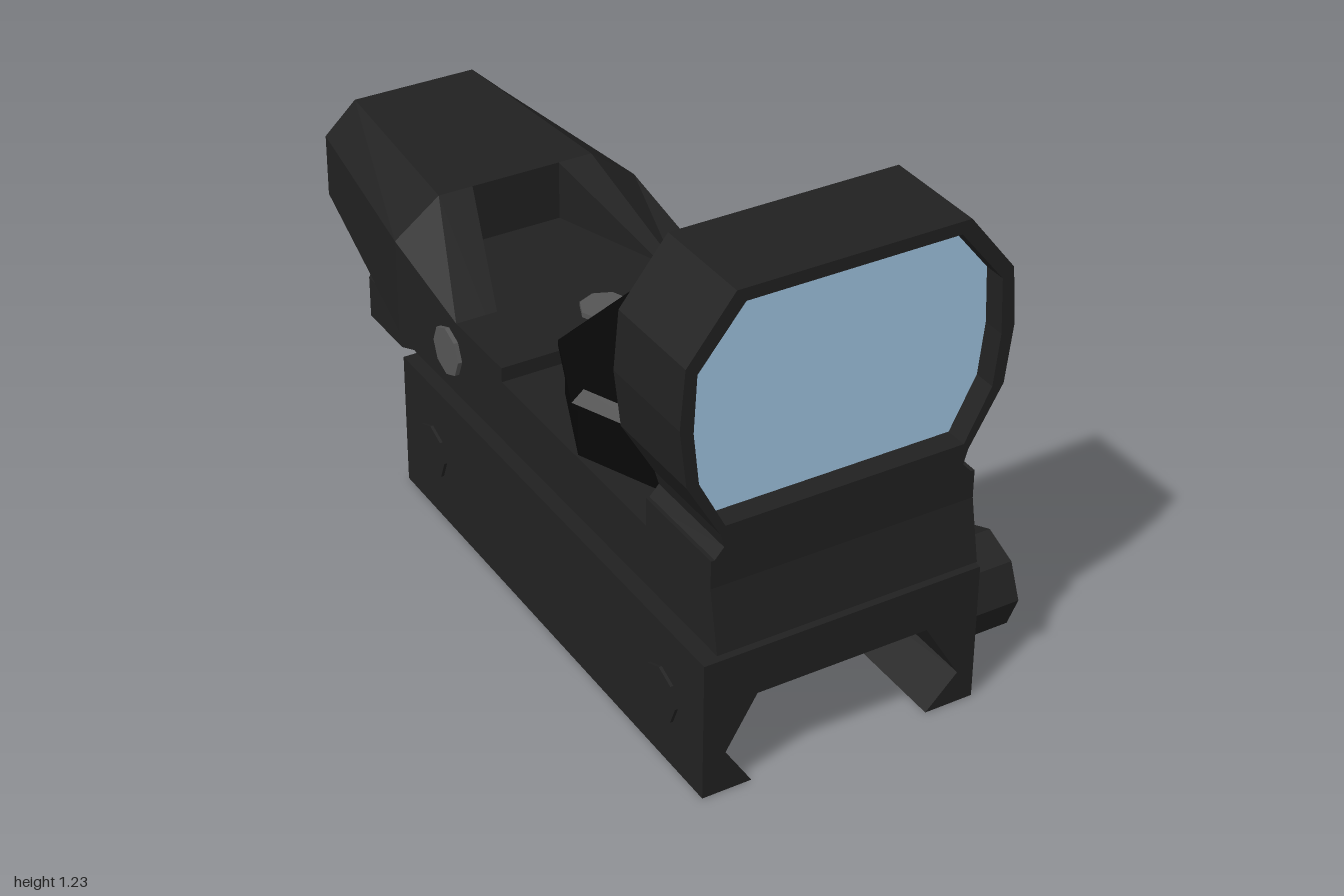
import * as THREE from 'three';

const CX = -0.05; // the sight's own centre line
const mat = (color) => new THREE.MeshStandardMaterial({ color, flatShading: true });
const DARK = mat(0x212121), BLACK = mat(0x070707), GREY = mat(0x555555), GLASS = mat(0xa0c6e2);

const shapeOf = (pts) => new THREE.Shape(pts.map(([x, y]) => new THREE.Vector2(x, y)));
const extrude = (shape, depth) => new THREE.ExtrudeGeometry(shape, { depth, bevelEnabled: false });
// right half outline (top to bottom) completed by its mirror image, counter-clockwise
const mirrored = (half) => [...half.map(([x, y]) => [-x, y]), ...[...half].reverse()];

// closed solid through matching rings, listed from front to back, counter-clockwise seen from +z
function loft(rings) {
  const pos = [];
  const n = rings[0].length;
  const tri = (...p) => p.forEach((v) => pos.push(...v));
  const mid = (r) => [0, 1, 2].map((k) => r.reduce((s, p) => s + p[k], 0) / n);
  for (let i = 0; i < n; i++) {
    const j = (i + 1) % n;
    for (let s = 0; s + 1 < rings.length; s++) {
      const a = rings[s], b = rings[s + 1];
      tri(a[i], b[i], a[j]);
      tri(a[j], b[i], b[j]);
    }
    const first = rings[0], last = rings[rings.length - 1];
    tri(mid(first), first[i], first[j]);
    tri(mid(last), last[j], last[i]);
  }
  const g = new THREE.BufferGeometry();
  g.setAttribute('position', new THREE.Float32BufferAttribute(pos, 3));
  g.computeVertexNormals();
  return g;
}

export function createModel() {
  const root = new THREE.Group();
  const add = (name, geo, material, x = 0, y = 0, z = 0) => {
    const m = new THREE.Mesh(geo, material);
    m.name = name;
    m.position.set(x, y, z);
    root.add(m);
  };
  const box = (name, w, h, d, x, y, z) => add(name, new THREE.BoxGeometry(w, h, d), DARK, x, y, z);
  // octagonal disc with its axis along x
  const sideDisc = (name, r, x0, x1, y, z, material) =>
    add(name, new THREE.CylinderGeometry(r, r, x1 - x0, 8).rotateZ(Math.PI / 2), material, (x0 + x1) / 2, y, z);

  // rail clamp with its dovetail channel
  const clamp = mirrored([[0.3475, 0.35], [0.3475, 0], [0.225, 0], [0.305, 0.08], [0.215, 0.23]]);
  add('railClamp', extrude(shapeOf(clamp), 1.38), DARK, CX, 0, -0.395);
  box('spacerPlate', 0.45, 0.05, 1.24, CX, 0.365, 0.27);
  for (const s of [-1, 1]) box('spacerStrip', 0.06, 0.02, 1.24, CX + s * 0.26, 0.355, 0.27);

  // clamp knobs on one side, flush bolt ends on the other
  for (const z of [0.815, -0.248]) {
    sideDisc('clampKnob', 0.12, 0.28, 0.45, 0.17, z, DARK);
    sideDisc('boltEnd', 0.068, -0.405, -0.38, 0.17, z, DARK);
  }

  // main body from its side outline, as [z, y]
  const side = [[1, 0.38], [0.97, 0.53], [0.97, 0.6], [0.71, 0.6], [0.71, 0.53], [0.07, 0.53],
    [0.07, 0.567], [-0.46, 0.567], [-0.46, 0.385], [-0.37, 0.37]];
  add('body', extrude(shapeOf(side), 0.652).translate(0, 0, -0.326).rotateY(-Math.PI / 2), DARK, CX);

  // tapering rear hood
  const hoodRing = (z, w, bottom, shoulder, top, topW) =>
    [[-w, bottom], [w, bottom], [w, shoulder], [topW, top], [-topW, top], [-w, shoulder]].map(([x, y]) => [x, y, z]);
  add('rearHood', loft([
    hoodRing(-0.46, 0.326, 0.385, 0.63, 0.72, 0.207),
    hoodRing(-1, 0.25, 0.475, 0.64, 0.72, 0.165),
  ]), DARK, CX);

  // sloping cheeks on both sides of the hood's front recess
  for (const s of [-1, 1]) {
    const ring = (z, inner, topW, shoulder, top) => {
      const r = [[inner, 0.56], [0.326, 0.56], [0.326, shoulder], [topW, top], [inner, top]]
        .map(([x, y]) => [s * x, y, z]);
      return s > 0 ? r : r.reverse();
    };
    add('hoodCheek', loft([
      ring(-0.15, 0.22, 0.25, 0.567, 0.567),
      ring(-0.46, 0.117, 0.207, 0.63, 0.72),
    ]), DARK, CX);
  }

  // window frame and a thick lens set back from both of its faces
  const outer = mirrored([[0.277, 1.225], [0.391, 1.08], [0.403, 0.94], [0.386, 0.8], [0.305, 0.66], [0.295, 0.625], [0.326, 0.59]]);
  const inner = mirrored([[0.255, 1.195], [0.364, 1.06], [0.371, 0.925], [0.357, 0.8], [0.293, 0.677]]);
  const frame = shapeOf(outer);
  frame.holes.push(shapeOf(inner));
  add('windowFrame', extrude(frame, 0.26), DARK, CX, 0, 0.71);
  add('lens', extrude(shapeOf(inner), 0.1), GLASS, CX, 0, 0.815);

  // brightness dial with a chamfered lip
  const dial = [[0, 0.52], [0.32, 0.52], [0.32, 0.645], [0.335, 0.655], [0.335, 0.67], [0.305, 0.695], [0, 0.695]];
  add('dial', new THREE.LatheGeometry(dial.map(([r, y]) => new THREE.Vector2(r, y)), 8), BLACK, CX, 0, 0.41);

  // adjustment screws
  add('topScrew', new THREE.CylinderGeometry(0.062, 0.062, 0.03, 8), GREY, CX, 0.565, -0.03);
  sideDisc('sideScrew', 0.062, 0.26, 0.287, 0.475, -0.188, GREY);
  sideDisc('sideScrew', 0.062, -0.387, -0.36, 0.475, -0.188, GREY);

  // battery holder under the hood, with a pair of grip tabs
  add('batteryHousing', new THREE.CylinderGeometry(0.235, 0.235, 0.13, 8), BLACK, CX, 0.42, -0.597);
  add('batteryCap', new THREE.CylinderGeometry(0.28, 0.28, 0.11, 10), DARK, CX, 0.31, -0.66);
  for (const s of [-1, 1]) box('batteryTab', 0.035, 0.11, 0.1, CX + s * 0.04, 0.31, -0.93);

  return root;
}
